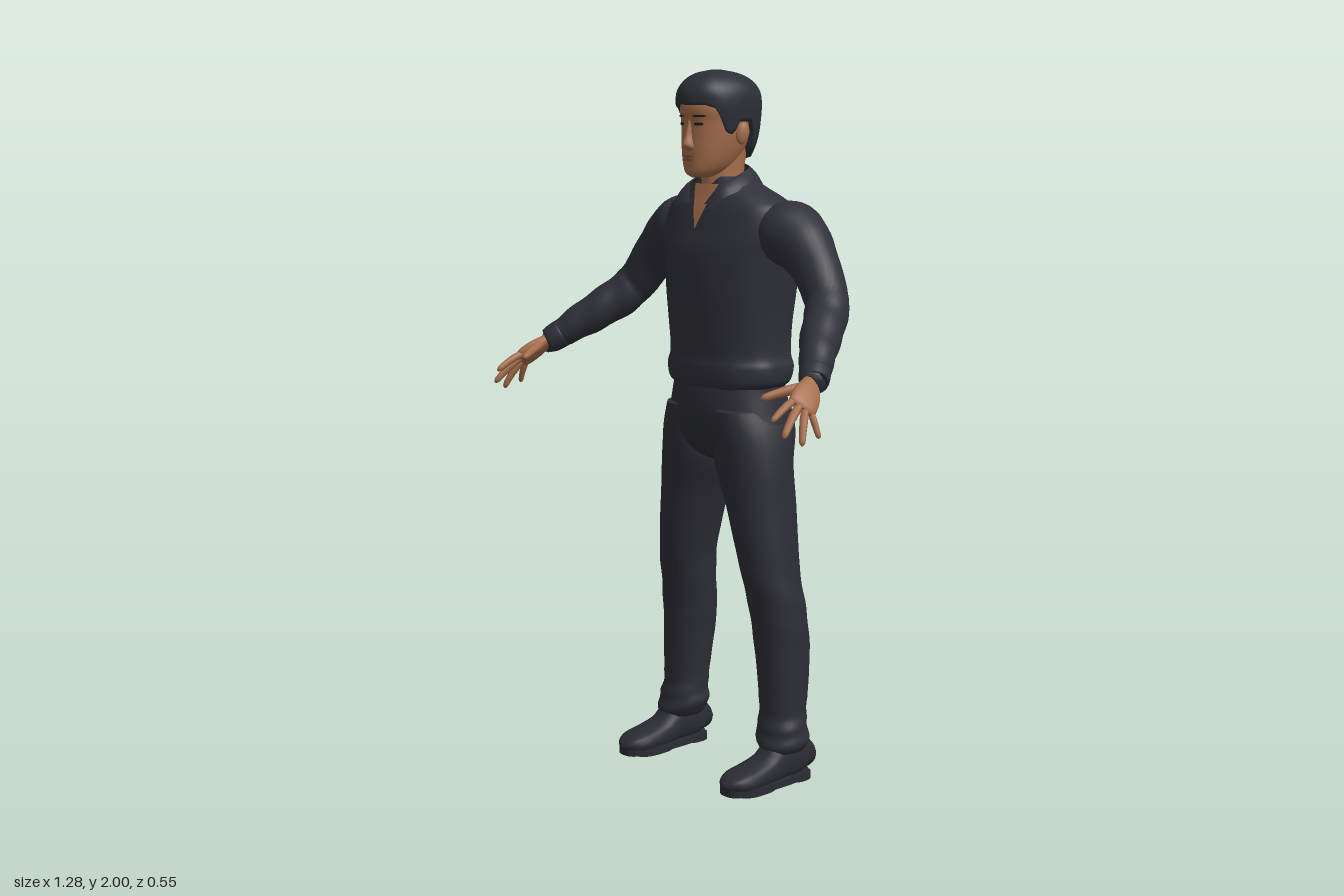
import * as THREE from 'three';

const V = (x, y, z) => new THREE.Vector3(x, y, z);
const mat = (name, color, side = THREE.FrontSide) => {
  const m = new THREE.MeshStandardMaterial({ color, side });
  m.name = name;
  return m;
};

// Smooth interpolation through rows of numbers, t in 0..1
function sample(rows, t) {
  const f = Math.min(Math.max(t, 0), 1) * (rows.length - 1);
  const i = Math.min(Math.floor(f), rows.length - 2), s = f - i;
  const at = k => rows[Math.min(Math.max(k, 0), rows.length - 1)];
  return rows[0].map((_, c) => {
    const a = at(i - 1)[c], b = at(i)[c], d = at(i + 1)[c], e = at(i + 2)[c];
    return b + 0.5 * s * (d - a + s * (2 * a - 5 * b + 4 * d - e + s * (3 * (b - d) + e - a)));
  });
}

// Row at height y of a profile whose first number is y, ascending
function atY(rows, y) {
  let lo = 0, hi = 1;
  for (let k = 0; k < 24; k++) {
    const m = (lo + hi) / 2;
    if (sample(rows, m)[0] < y) lo = m; else hi = m;
  }
  return sample(rows, lo);
}

// Grid surface from fn(u, v); wraps round in u and can be capped
function grid(nu, nv, fn, wrap = true, cap = wrap) {
  const pos = [], idx = [], w = wrap ? nu : nu + 1;
  for (let j = 0; j <= nv; j++)
    for (let i = 0; i < w; i++) pos.push(...fn(i / nu, j / nv).toArray());
  for (let j = 0; j < nv; j++)
    for (let i = 0; i < nu; i++) {
      const a = j * w + i, b = j * w + (i + 1) % w;
      idx.push(a, b, b + w, a, b + w, a + w);
    }
  if (cap) for (const j of [0, nv]) {
    const c = V(0, 0, 0), n = pos.length / 3;
    for (let i = 0; i < w; i++) c.add(V(...pos.slice((j * w + i) * 3, (j * w + i) * 3 + 3)));
    pos.push(...c.divideScalar(w).toArray());
    for (let i = 0; i < w; i++) {
      const a = j * w + i, b = j * w + (i + 1) % w;
      if (j) idx.push(n, a, b); else idx.push(n, b, a);
    }
  }
  const g = new THREE.BufferGeometry();
  g.setAttribute('position', new THREE.Float32BufferAttribute(pos, 3));
  g.setIndex(idx);
  g.computeVertexNormals();
  return g;
}

const sp = (v, e) => Math.sign(v) * Math.pow(Math.abs(v), 2 / e);

// Point on an upright section [y, halfWidth, zFront, zBack, centreX]
function around([y, rx, zf, zb, cx = 0], th, e, k = 1) {
  return V(cx + k * rx * sp(Math.sin(th), e), y, (zf + zb) / 2 + k * (zf - zb) / 2 * sp(Math.cos(th), e));
}
// Upright body with optional cloth folds
const loft = (rows, { nu = 40, nv = 40, e = 2.3, fold = () => 0 } = {}) => grid(nu, nv, (u, v) => {
  const r = sample(rows, v), th = u * Math.PI * 2;
  return around(r, th, e, 1 + fold(th, r[0]));
});

// Limb along a path of [x, y, z, a, b]; a lies along the hint direction
function limb(rows, hint, { nu = 20, nv = 24, e = 2, fold = () => 0 } = {}) {
  return grid(nu, nv, (u, v) => {
    const [x, y, z, a, b] = sample(rows, v), th = u * Math.PI * 2;
    const p = sample(rows, v - 0.01), q = sample(rows, v + 0.01);
    const T = V(q[0] - p[0], q[1] - p[1], q[2] - p[2]).normalize();
    const S = hint.clone().addScaledVector(T, -hint.dot(T)).normalize();
    const N = S.clone().cross(T), k = 1 + fold(th, v);
    return V(x, y, z).addScaledVector(S, k * a * sp(Math.sin(th), e)).addScaledVector(N, k * b * sp(Math.cos(th), e));
  });
}

// Thin patch lying on the front of an upright body
const decal = (rows, e, cx, y0, y1, width, lift) => grid(12, 8, (u, v) => {
  const y = y0 + (y1 - y0) * v, x = cx + (u * 2 - 1) * width(v);
  const [, rx, zf, zb] = atY(rows, y);
  const d = Math.pow(Math.max(0, 1 - Math.pow(Math.abs(x) / rx, e)), 1 / e);
  return V(x, y, (zf + zb) / 2 + (zf - zb) / 2 * d + lift);
}, false);
const oval = w => v => w * Math.sqrt(Math.max(0, 1 - (2 * v - 1) ** 2));

function mirror(geo) {
  const g = geo.clone().scale(-1, 1, 1), a = g.index.array;
  for (let i = 0; i < a.length; i += 3) [a[i], a[i + 1]] = [a[i + 1], a[i]];
  g.computeVertexNormals();
  return g;
}

export function createModel() {
  const model = new THREE.Group();
  const shirt = mat('shirt cloth', 0x2f3039, THREE.DoubleSide), trousers = mat('trouser cloth', 0x2d2e36);
  const leather = mat('shoe leather', 0x2b2c34), hairMat = mat('hair', 0x2b2f37, THREE.DoubleSide);
  const skin = mat('skin', 0xa56d4b), lip = mat('lips', 0x8a5443), dark = mat('eyes and brows', 0x241c1a);
  const add = (name, geo, m) => {
    const mesh = new THREE.Mesh(geo, m);
    mesh.name = name;
    model.add(mesh);
  };
  const pair = (name, geo, m) => {
    add('left' + name, geo, m);
    add('right' + name, mirror(geo), m);
  };

  // Shirt body, gathered at the hem
  const torso = [[1.125, .17, .012, -.24], [1.145, .192, .02, -.254], [1.185, .197, .023, -.264], [1.22, .187, .02, -.26],
    [1.3, .19, .026, -.262], [1.4, .2, .032, -.274], [1.5, .213, .03, -.28], [1.56, .228, .014, -.274],
    [1.62, .215, -.004, -.25], [1.65, .18, -.016, -.224], [1.68, .12, -.026, -.195], [1.71, .07, -.036, -.165]];
  add('shirtBody', loft(torso, {
    nu: 56, nv: 60,
    fold: (th, y) => .014 * Math.sin(9 * th + 2) * Math.max(0, 1 - Math.abs(y - 1.17) / .09)
      + .01 * Math.cos(6 * th) * Math.max(0, 1 - Math.abs(y - 1.36) / .2),
  }), shirt);
  // Open neckline
  add('openNeckline', decal(torso, 2.3, 0, 1.57, 1.69, v => .002 + .046 * v, .004), skin);

  // Collar
  const top = [[0, 1.745, -.16], [.055, 1.735, -.14], [.072, 1.715, -.085], [.06, 1.69, -.03], [.03, 1.635, .004]];
  const low = [[0, 1.69, -.195], [.075, 1.685, -.175], [.108, 1.68, -.095], [.1, 1.658, -.015], [.078, 1.622, .014]];
  pair('Collar', grid(20, 4, (u, v) => {
    const a = V(...sample(low, u)), b = V(...sample(top, u));
    return a.lerp(b, v).add(V(0, .008 * Math.sin(Math.PI * v), .004 * u));
  }, false), shirt);

  // Sleeves with creases, and cuffs
  pair('Sleeve', limb([[.14, 1.57, -.14, .06, .08], [.21, 1.56, -.142, .09, .1], [.27, 1.53, -.138, .082, .085],
    [.33, 1.475, -.128, .068, .068], [.395, 1.39, -.108, .06, .06], [.43, 1.34, -.065, .06, .058],
    [.48, 1.287, .005, .054, .052], [.525, 1.243, .06, .044, .043], [.553, 1.215, .095, .036, .037]], V(0, 1, 0), {
    nu: 28, nv: 48, fold: (th, v) => .035 * Math.sin(v * 46 + 2 * Math.sin(th)) * Math.min(1, v * 1.4) ** 2,
  }), shirt);
  pair('Cuff', limb([[.533, 1.235, .07, .038, .038], [.538, 1.23, .076, .042, .042],
    [.558, 1.21, .1, .038, .038], [.559, 1.209, .101, .028, .028]], V(0, 1, 0), { nv: 10 }), shirt);

  // Hands
  const across = V(.03, -.035, -.055);
  pair('Palm', limb([[.545, 1.223, .085, .022, .018], [.56, 1.207, .112, .026, .018], [.577, 1.185, .143, .038, .018],
    [.592, 1.163, .172, .04, .015], [.597, 1.155, .183, .03, .008]], across, { e: 2.4 }), skin);
  const fingers = {
    Thumb: [[.562, 1.205, .125], [.53, 1.193, .185], [.505, 1.175, .235], .013],
    IndexFinger: [[.577, 1.18, .178], [.582, 1.163, .23], [.586, 1.132, .272], .0105],
    MiddleFinger: [[.589, 1.167, .178], [.605, 1.135, .227], [.616, 1.092, .26], .011],
    RingFinger: [[.599, 1.154, .17], [.622, 1.115, .2], [.634, 1.07, .214], .0105],
    LittleFinger: [[.603, 1.148, .155], [.624, 1.115, .158], [.634, 1.082, .154], .009],
  };
  for (const [name, [a, b, c, r]] of Object.entries(fingers)) {
    const path = new THREE.QuadraticBezierCurve3(V(...a), V(...b), V(...c));
    const rows = [[0, .9], [.3, 1.05], [.55, .95], [.8, .85], [.93, .7], [1, .2]]
      .map(([t, k]) => [...path.getPoint(t).toArray(), r * k, r * k]);
    pair(name, limb(rows, across, { nu: 10, nv: 12 }), skin);
  }

  // Trousers
  add('trouserSeat', loft([[.915, .05, -.05, -.16], [.935, .13, -.02, -.205], [.97, .185, .002, -.234], [1.01, .2, .012, -.247],
    [1.06, .19, .018, -.254], [1.11, .178, .016, -.248], [1.16, .17, .008, -.235]]), trousers);
  pair('TrouserLeg', loft([[.095, .058, -.058, -.19, .222], [.115, .07, -.054, -.202, .219], [.15, .075, -.06, -.2, .213],
    [.2, .066, -.07, -.2, .21], [.3, .072, -.068, -.21, .206], [.4, .077, -.062, -.218, .198], [.5, .081, -.052, -.208, .19],
    [.6, .078, -.03, -.2, .178], [.7, .085, -.018, -.204, .16], [.8, .095, -.01, -.21, .14], [.91, .111, 0, -.214, .114],
    [1, .1, .008, -.238, .108], [1.07, .085, .012, -.24, .095]], {
    nu: 32, nv: 70, e: 2.15,
    fold: (th, y) => .035 * Math.sin(y * 110 + 2 * Math.sin(th + 1)) * Math.max(0, 1 - Math.abs(y - .15) / .12)
      + .015 * Math.sin(y * 55 + 2 * th) * Math.max(0, 1 - Math.abs(y - .5) / .2),
  }), trousers);

  // Shoes: upper, sole and heel
  const upper = [[-.205, .025, .05], [-.196, .043, .1], [-.15, .05, .135], [-.1, .049, .125], [-.055, .05, .092],
    [0, .055, .073], [.05, .054, .062], [.083, .038, .05], [.098, .012, .03]];
  pair('ShoeUpper', limb(upper.map(([z, w, h]) => [.224, h / 2 + .006, z, w, h / 2 - .002]), V(1, 0, 0), { e: 2.5, nv: 32 }), leather);
  const slab = (y0, y1, w, zf, zb) => loft([[y0, w, zf, zb, .224], [y0 + .001, w, zf, zb, .224],
    [y1 - .001, w, zf, zb, .224], [y1, w, zf, zb, .224]], { nv: 6, e: 2.8 });
  pair('ShoeSole', slab(.006, .024, .057, .1, -.206), leather);
  pair('ShoeHeel', slab(0, .02, .05, -.12, -.206), leather);
  pair('ShoeTread', slab(0, .012, .055, .07, -.07), leather);

  // Neck and head
  add('neck', loft([[1.6, .075, -.02, -.17], [1.66, .064, -.024, -.16], [1.72, .058, -.028, -.15], [1.8, .06, -.03, -.165]],
    { nu: 28, nv: 12, e: 2 }), skin);
  const head = [[1.708, .02, .018, -.03], [1.72, .042, .033, -.07], [1.745, .06, .036, -.11], [1.78, .073, .036, -.14],
    [1.82, .082, .034, -.165], [1.86, .086, .034, -.175], [1.9, .088, .037, -.18], [1.95, .075, .015, -.17]];
  add('head', loft(head), skin);
  add('nose', loft([[1.78, .009, .038, .01], [1.787, .018, .047, .01], [1.798, .017, .056, .01], [1.82, .011, .048, .01],
    [1.845, .009, .041, .01], [1.87, .006, .034, .01]], { nu: 20, nv: 16, e: 1.8 }), skin);
  add('upperLip', decal(head, 2.3, 0, 1.762, 1.77, oval(.024), .004), lip);
  add('lowerLip', decal(head, 2.3, 0, 1.752, 1.761, oval(.02), .005), lip);
  pair('Eye', decal(head, 2.3, .034, 1.849, 1.858, oval(.014), .003), dark);
  pair('Eyebrow', decal(head, 2.3, .036, 1.872, 1.878, oval(.02), .003), dark);
  const ear = new THREE.SphereGeometry(1, 14, 10).scale(.011, .031, .02).rotateX(-.2).rotateY(-.25).translate(.089, 1.828, -.082);
  pair('Ear', ear, skin);

  // Hair cap with fringe, sideburns and nape
  const hair = [[1.75, .07, .02, -.165], [1.8, .085, .035, -.19], [1.85, .094, .045, -.202], [1.9, .1, .053, -.205],
    [1.94, .096, .053, -.199], [1.97, .077, .033, -.175], [1.99, .046, 0, -.135], [2, .006, -.05, -.08]];
  const edge = [[0, 1.905], [35, 1.905], [52, 1.895], [66, 1.83], [78, 1.825], [84, 1.86], [106, 1.86], [118, 1.79], [140, 1.765], [180, 1.755]];
  const edgeAt = deg => {
    const i = Math.max(1, edge.findIndex(p => p[0] >= deg)), [a, ya] = edge[i - 1], [b, yb] = edge[i];
    return ya + (yb - ya) * (deg - a) / (b - a);
  };
  add('hair', grid(72, 22, (u, v) => {
    const th = u * Math.PI * 2, y0 = edgeAt(180 - Math.abs(180 - u * 360));
    const t = Math.max(0, (v * 22 - 1) / 21), y = y0 + (2 - y0) * (1 - (1 - t) ** 1.6);
    const lock = .008 * Math.sin(7 * th + 30 * y);
    return around(atY(hair, y), th, 2.1, v === 0 ? .84 : 1 + lock);
  }), hairMat);

  return model;
}
